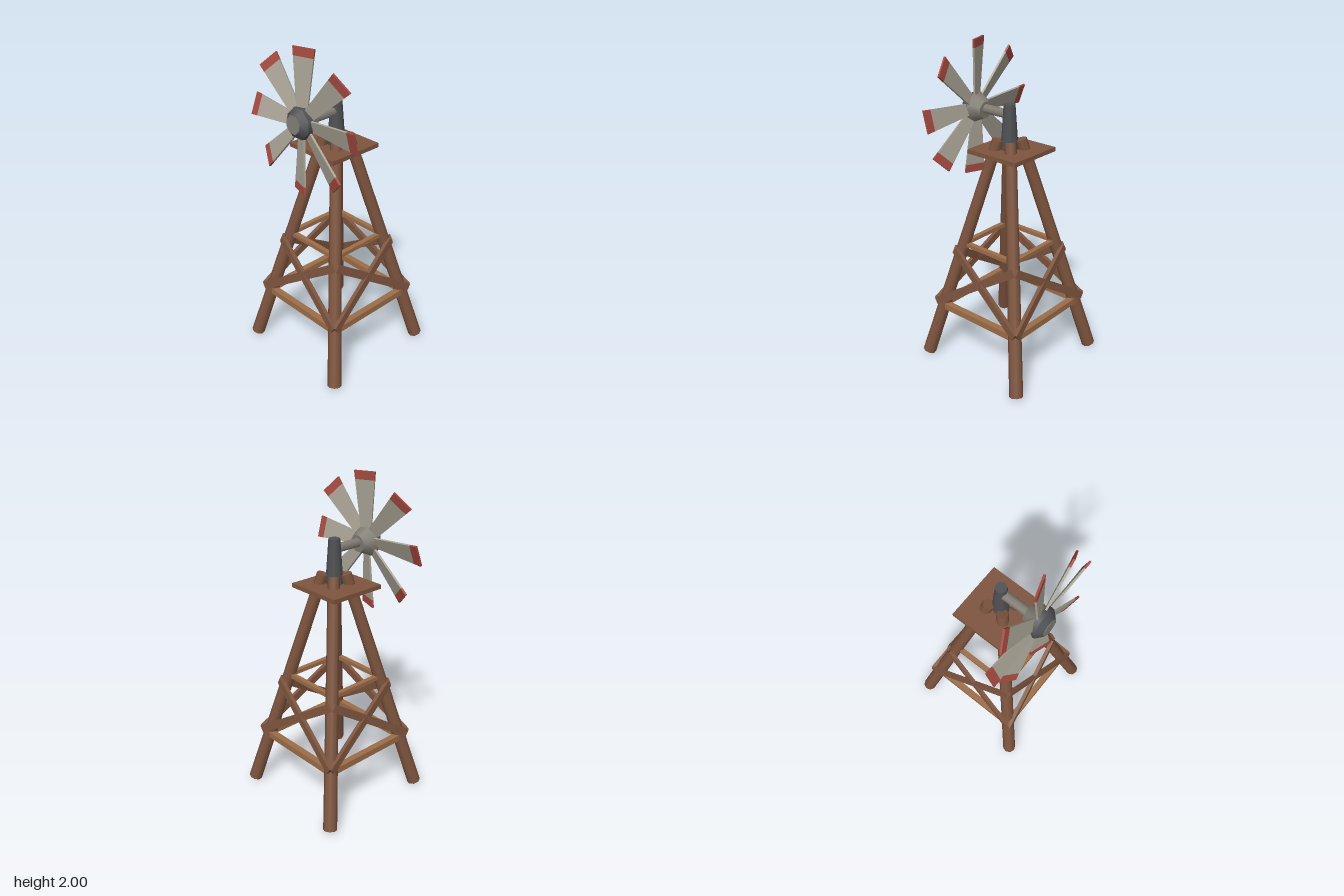
import * as THREE from 'three';

const mat = (name, color, extra = {}) => {
  const m = new THREE.MeshStandardMaterial({ color, ...extra });
  m.name = name;
  return m;
};

export function createModel() {
  const wood = mat('darkWood', 0x7d543e);
  const paleWood = mat('paleWood', 0x9c6d48);
  const metal = mat('greyMetal', 0x817d74);
  const dark = mat('darkMetal', 0x505154);
  const sail = mat('sailGrey', 0xa8a294);
  const red = mat('tipRed', 0xa64a40);

  const model = new THREE.Group();
  model.name = 'windmill';
  const V = (x, y, z) => new THREE.Vector3(x, y, z);
  const add = (parent, name, geo, material) => {
    const mesh = new THREE.Mesh(geo, material);
    mesh.name = name;
    parent.add(mesh);
    return mesh;
  };

  // Round bar from a to b
  const rod = (parent, name, a, b, ra, rb, material) => {
    const d = b.clone().sub(a);
    const m = add(parent, name, new THREE.CylinderGeometry(rb, ra, d.length(), 8), material);
    m.position.copy(a).add(b).multiplyScalar(0.5);
    m.quaternion.setFromUnitVectors(V(0, 1, 0), d.normalize());
    return m;
  };

  // Flat plank from a to b, its broad side facing +z
  const plank = (parent, name, a, b, width, depth, material) => {
    const x = b.clone().sub(a);
    const m = add(parent, name, new THREE.BoxGeometry(x.length(), width, depth), material);
    m.position.copy(a).add(b).multiplyScalar(0.5);
    x.normalize();
    const y = V(0, 0, 1).cross(x).normalize();
    const z = x.clone().cross(y);
    m.quaternion.setFromRotationMatrix(new THREE.Matrix4().makeBasis(x, y, z));
    return m;
  };

  // Splayed legs
  for (const sx of [-1, 1]) for (const sz of [-1, 1]) {
    rod(model, 'leg', V(sx * 0.37, 0.013, sz * 0.37), V(sx * 0.047, 1.445, sz * 0.047), 0.042, 0.035, wood);
  }

  // Rails and crossed braces, the same on all four sides
  for (let i = 0; i < 4; i++) {
    const side = new THREE.Group();
    side.name = 'towerSide';
    side.rotation.y = i * Math.PI / 2;
    plank(side, 'lowerRail', V(-0.28, 0.36, 0.3), V(0.28, 0.36, 0.3), 0.04, 0.04, paleWood);
    plank(side, 'upperRail', V(-0.19, 0.782, 0.196), V(0.19, 0.782, 0.196), 0.025, 0.03, paleWood);
    for (const s of [-1, 1]) {
      plank(side, 'crossBrace', V(s * 0.32, 0.385, 0.328), V(s * -0.23, 0.74, 0.242), 0.048, 0.024, wood);
    }
    model.add(side);
  }

  // Platform and mast
  add(model, 'platform', new THREE.BoxGeometry(0.365, 0.026, 0.365), wood).position.set(-0.018, 1.373, 0);
  rod(model, 'mast', V(0, 1.38, 0), V(0, 1.655, 0), 0.053, 0.034, dark);
  rod(model, 'axle', V(0, 1.593, 0), V(0, 1.593, 0.21), 0.029, 0.029, metal);

  // Rotor, leaning back slightly
  const rotor = new THREE.Group();
  rotor.name = 'rotor';
  rotor.position.set(0, 1.59, 0.258);
  rotor.rotation.x = -0.06;
  model.add(rotor);

  const hubRing = (name, z0, z1, r0, r1, material, open) => {
    const g = new THREE.CylinderGeometry(r1, r0, z1 - z0, 8, 1, open);
    g.rotateY(Math.PI / 8).rotateX(Math.PI / 2).translate(0, 0, (z0 + z1) / 2);
    add(rotor, name, g, material);
  };
  hubRing('hubBack', -0.075, 0.0, 0.054, 0.095, metal, false);
  hubRing('hubRim', 0.0, 0.03, 0.095, 0.092, dark, true);
  hubRing('hubNose', 0.03, 0.064, 0.092, 0.057, dark, false);
  hubRing('hubCap', 0.06, 0.067, 0.055, 0.055, metal, false);

  // Tapered slab between two radii along +y
  const halfWidth = r => 0.028 + 0.094 * r;
  const slab = (r0, r1) => {
    const s = new THREE.Shape();
    s.moveTo(-halfWidth(r0), r0);
    s.lineTo(halfWidth(r0), r0);
    s.lineTo(halfWidth(r1), r1);
    s.lineTo(-halfWidth(r1), r1);
    s.closePath();
    return new THREE.ExtrudeGeometry(s, { depth: 0.012, bevelEnabled: false }).translate(0, 0, -0.006);
  };
  const sailGeo = slab(0.06, 0.363);
  const tipGeo = slab(0.363, 0.413);
  for (let i = 0; i < 8; i++) {
    const arm = new THREE.Group();
    arm.name = 'blade';
    arm.rotation.z = i * Math.PI / 4;
    const pitch = new THREE.Group();
    pitch.name = 'bladePitch';
    pitch.rotation.y = 0.32;
    add(pitch, 'sail', sailGeo, sail);
    add(pitch, 'sailTip', tipGeo, red);
    arm.add(pitch);
    rotor.add(arm);
  }
  return model;
}
